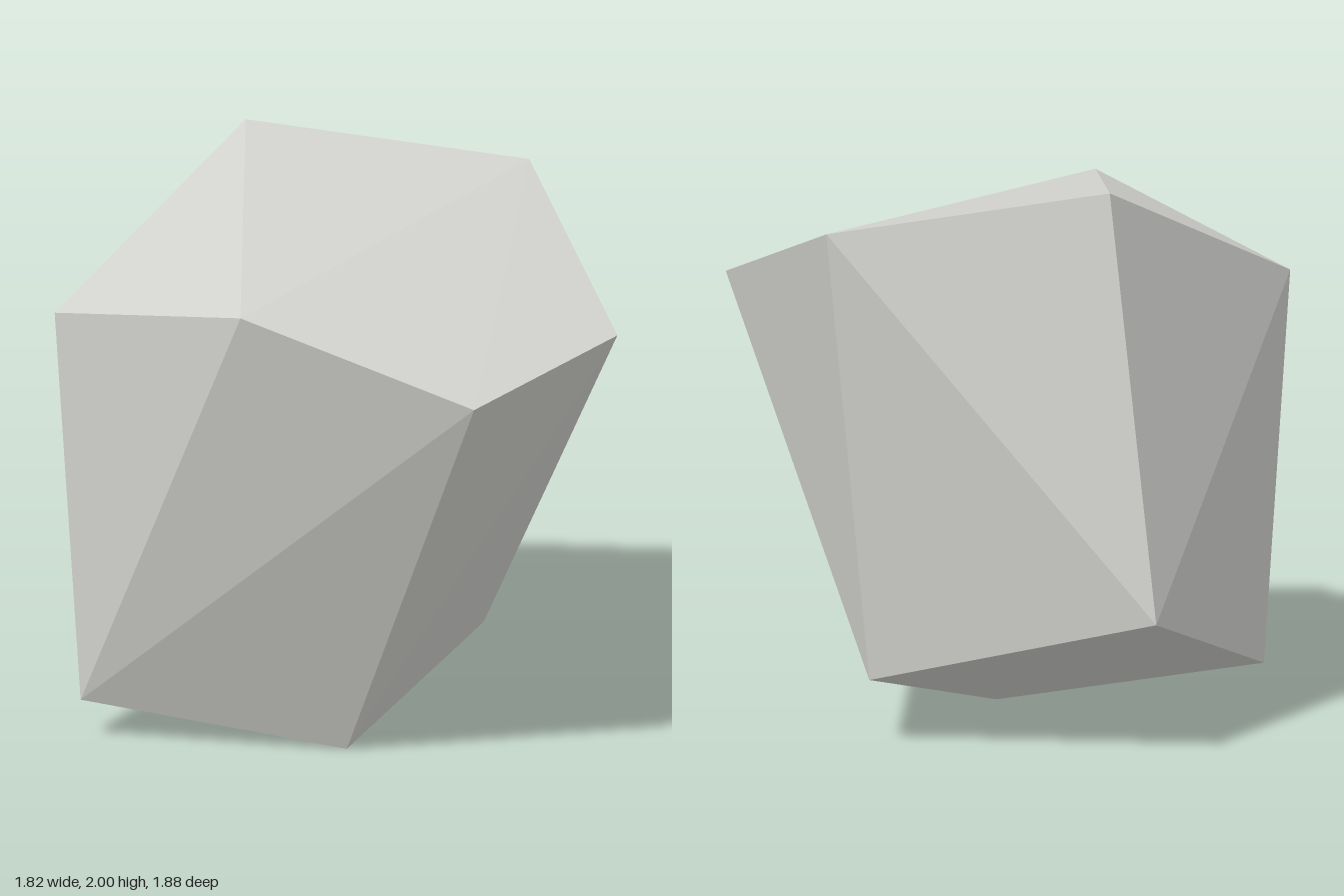
import * as THREE from 'three';
import { ConvexGeometry } from 'three/addons/geometries/ConvexGeometry.js';

export function createModel() {
  const model = new THREE.Group();
  model.name = 'rock';

  const stone = new THREE.MeshStandardMaterial({ color: 0xd3d4cf });
  stone.name = 'pale grey stone';

  // Upper rim, running round from the left-hand corner
  const rim = [
    [-0.91, 1.76, 0.16],
    [-0.6, 1.49, 0.94],
    [0.3, 1.525, 0.905],
    [0.91, 1.86, 0.085],
    [0.345, 2.0, -0.725],
    [-0.7, 1.55, -0.79],
  ];
  // Narrower, tilted foot
  const foot = [
    [-0.215, 0, 0.115],
    [0.66, 0.23, 0.07],
    [0.385, 0.495, -0.945],
    [-0.67, 0.145, -0.7],
  ];

  // Faceted boulder: the convex skin around all corners
  const corners = [...rim, ...foot].map((p) => new THREE.Vector3(...p));
  const boulder = new THREE.Mesh(new ConvexGeometry(corners), stone);
  boulder.name = 'boulder';
  model.add(boulder);
  return model;
}
